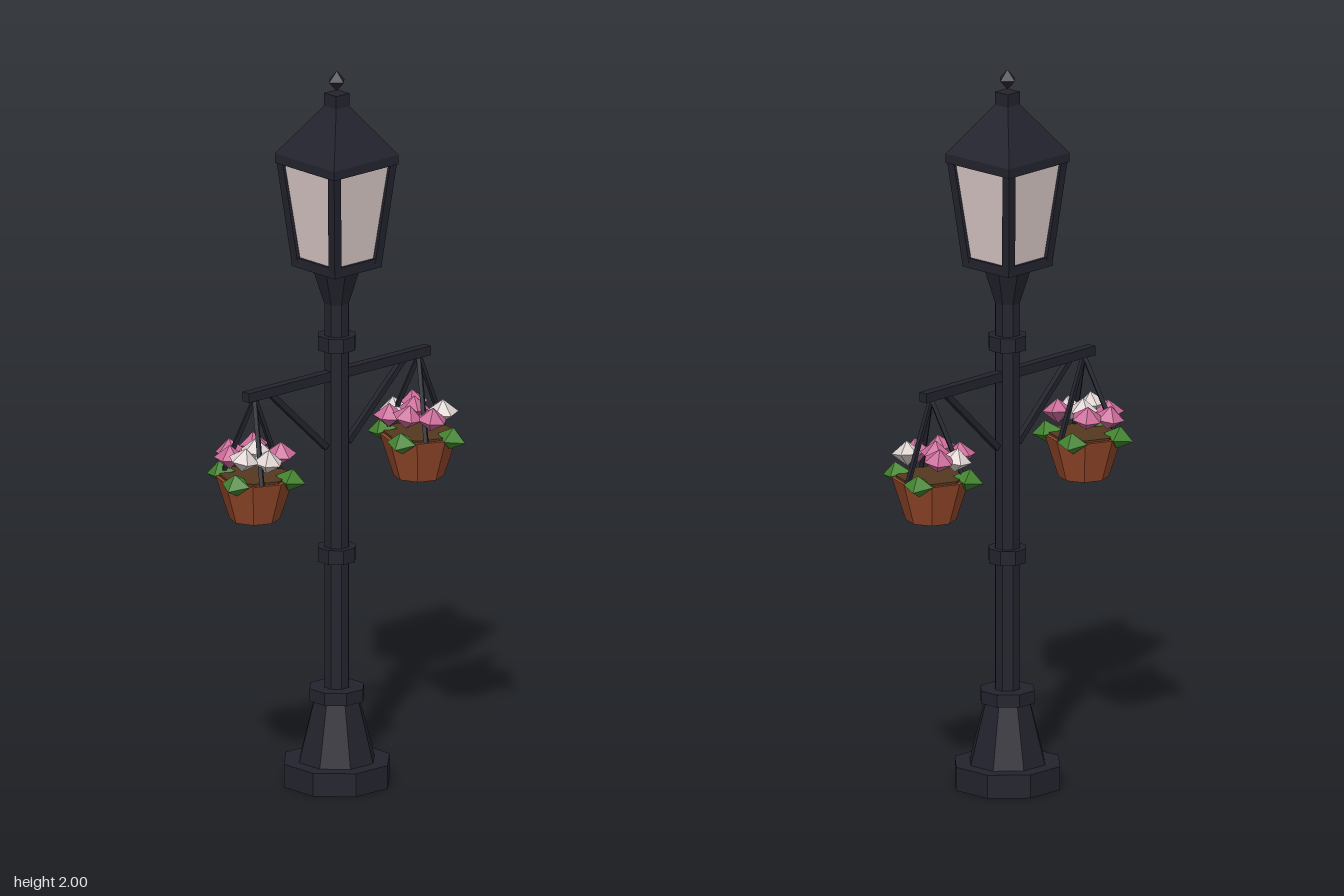
import * as THREE from 'three';

const mat = (name, color) => {
  const m = new THREE.MeshStandardMaterial({ color, flatShading: true });
  m.name = name;
  return m;
};

export function createModel() {
  const metal = mat('darkMetal', 0x23232e);
  const glass = mat('paleGlass', 0xdccbc9);
  const clay = mat('terracotta', 0x95482a);
  const earth = mat('soil', 0x54381f);
  const green = mat('leafGreen', 0x43842f);
  const pink = mat('petalPink', 0xc96a98);
  const white = mat('petalWhite', 0xdcd2d0);

  const root = new THREE.Group();
  root.name = 'streetLamp';

  const add = (parent, name, geometry, material, x = 0, y = 0, z = 0) => {
    const mesh = new THREE.Mesh(geometry, material);
    mesh.name = name;
    mesh.position.set(x, y, z);
    parent.add(mesh);
    return mesh;
  };

  // Prism or frustum standing between two heights, flat side facing front;
  // b and t are half widths across the flats.
  const frustum = (parent, name, n, b, t, y0, y1, material = metal) => {
    const k = 1 / Math.cos(Math.PI / n);
    const g = new THREE.CylinderGeometry(t * k, b * k, y1 - y0, n);
    g.rotateY(Math.PI / n);
    return add(parent, name, g, material, 0, (y0 + y1) / 2);
  };

  // Square bar between two points
  const bar = (parent, name, a, b, w) => {
    const p = new THREE.Vector3(...a), q = new THREE.Vector3(...b);
    const d = q.clone().sub(p);
    const mesh = add(parent, name, new THREE.BoxGeometry(w, d.length(), w), metal);
    mesh.position.copy(p).add(q).multiplyScalar(0.5);
    mesh.quaternion.setFromUnitVectors(new THREE.Vector3(0, 1, 0), d.normalize());
    return mesh;
  };

  // Pole
  frustum(root, 'basePlinth', 8, 0.14, 0.14, 0, 0.065);
  frustum(root, 'baseTaper', 8, 0.1, 0.06, 0.065, 0.235);
  frustum(root, 'baseCollar', 8, 0.072, 0.072, 0.235, 0.27);
  frustum(root, 'pole', 8, 0.033, 0.033, 0.27, 1.36);
  frustum(root, 'lowerRing', 8, 0.05, 0.05, 0.625, 0.665);
  frustum(root, 'upperRing', 8, 0.05, 0.05, 1.22, 1.26);
  frustum(root, 'neck', 8, 0.033, 0.065, 1.35, 1.455);

  // Lantern
  const lantern = new THREE.Group();
  lantern.name = 'lantern';
  root.add(lantern);
  frustum(lantern, 'lanternFloor', 4, 0.086, 0.086, 1.45, 1.477);
  frustum(lantern, 'lanternGlass', 4, 0.077, 0.108, 1.477, 1.745, glass);
  for (const sx of [-1, 1]) for (const sz of [-1, 1])
    bar(lantern, 'cornerPost', [sx * 0.074, 1.465, sz * 0.074], [sx * 0.103, 1.75, sz * 0.103], 0.025);
  frustum(lantern, 'lanternEave', 4, 0.118, 0.118, 1.74, 1.766);
  frustum(lantern, 'lanternRoof', 4, 0.118, 0.022, 1.766, 1.905);
  frustum(lantern, 'roofCap', 4, 0.024, 0.024, 1.9, 1.938);
  add(lantern, 'finial', new THREE.SphereGeometry(0.028, 4, 2), metal, 0, 1.972);

  // Cross arm and braces
  add(root, 'crossArm', new THREE.BoxGeometry(0.665, 0.026, 0.026), metal, 0, 1.149);
  for (const s of [-1, 1])
    bar(root, 'armBrace', [s * 0.24, 1.138, 0], [s * 0.04, 0.95, 0], 0.016);

  // Hanging baskets; flowers are [x, z, material], leaves are [x, z], from the pot centre
  const baskets = [
    {
      name: 'rightBasket', x: -0.3,
      flowers: [[-0.013, -0.082, pink], [0.053, -0.062, pink], [-0.057, -0.038, pink],
        [-0.066, 0.03, white], [-0.013, 0.065, white], [0.051, 0.048, pink], [0.012, -0.008, white]],
      leaves: [[-0.039, -0.092], [0.092, -0.044], [-0.094, 0.028], [0.051, 0.088]],
    },
    {
      name: 'leftBasket', x: 0.3,
      flowers: [[-0.021, -0.074, white], [0.039, -0.065, pink], [-0.074, -0.038, pink],
        [-0.067, 0.03, pink], [-0.019, 0.072, pink], [0.041, 0.05, white], [-0.005, -0.012, pink]],
      leaves: [[-0.049, -0.092], [0.09, -0.038], [-0.1, 0.04], [0.032, 0.096]],
    },
  ];
  for (const { name, x, flowers, leaves } of baskets) {
    const basket = new THREE.Group();
    basket.name = name;
    basket.position.x = x;
    root.add(basket);
    add(basket, 'pot', new THREE.CylinderGeometry(0.106, 0.068, 0.118, 8), clay, 0, 0.861);
    add(basket, 'soil', new THREE.CylinderGeometry(0.095, 0.095, 0.008, 8), earth, 0, 0.922);

    // Three hanger rods
    for (let i = 0; i < 3; i++) {
      const a = i * Math.PI * 2 / 3;
      bar(basket, 'hanger', [0, 1.14, 0], [Math.cos(a) * 0.092, 0.918, Math.sin(a) * 0.092], 0.011);
    }

    // Blooms as squashed six-sided double pyramids
    flowers.forEach(([fx, fz, m], i) => {
      const f = add(basket, 'flower', new THREE.SphereGeometry(0.043, 6, 2), m,
        fx, i === 6 ? 0.99 : 0.978 + (i % 2) * 0.008, fz);
      f.scale.y = 0.8;
      f.rotation.set(fz * 2, i * 0.7, -fx * 2);
    });

    // Leaves as four-sided double pyramids leaning outward
    for (const [lx, lz] of leaves) {
      const l = add(basket, 'leaf', new THREE.SphereGeometry(0.043, 4, 2), green, lx, 0.92, lz);
      l.scale.y = 0.75;
      l.rotation.order = 'YXZ';
      l.rotation.set(0.2, Math.atan2(lx, lz), 0);
    }
  }
  return root;
}
